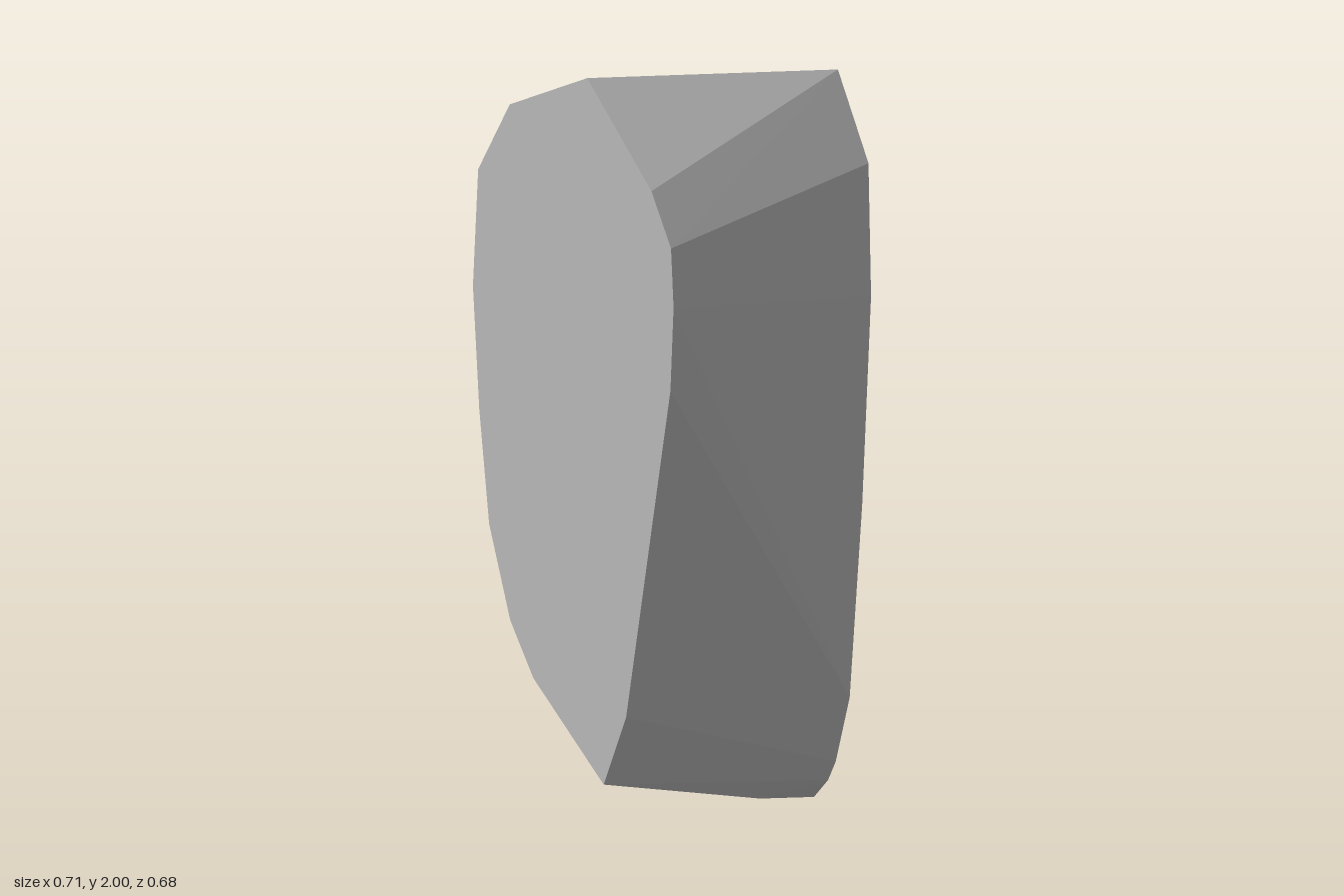
import * as THREE from 'three';
import { ConvexGeometry } from 'three/addons/geometries/ConvexGeometry.js';

export function createModel() {
  const group = new THREE.Group();
  group.name = 'rock';
  const stone = new THREE.MeshStandardMaterial({ color: 0xb8b8b8, flatShading: true });
  stone.name = 'stone grey';

  // Outline of the large flat front face, clockwise from the peak
  const front = [
    [0.09, 2], [0.288, 1.82], [0.347, 1.72], [0.354, 1.6], [0.343, 1.42],
    [0.18, 0.57], [0.09, 0.34], [-0.18, 0.5], [-0.267, 0.62], [-0.337, 0.85],
    [-0.354, 1.14], [-0.354, 1.44], [-0.31, 1.72], [-0.18, 1.89],
  ];
  // Outline of the narrower, lower back face
  const back = [
    [0.09, 1.905], [0.195, 1.72], [0.22, 1.42], [0.22, 0.9], [0.205, 0.36],
    [0.165, 0.15], [0.14, 0.08], [0.09, 0], [-0.18, 0.08], [-0.21, 0.14],
    [-0.29, 0.42], [-0.31, 1.03], [-0.31, 1.43], [-0.245, 1.71], [-0.18, 1.8],
  ];
  const at = (outline, z) => outline.map(([x, y]) => new THREE.Vector3(x, y, z));

  // Faceted slab stretched between both faces, with one chipped corner underneath
  const points = [...at(front, 0.338), ...at(back, -0.338), new THREE.Vector3(0.09, 0.08, -0.15)];
  const body = new THREE.Mesh(new ConvexGeometry(points), stone);
  body.name = 'rockBody';
  group.add(body);
  return group;
}
